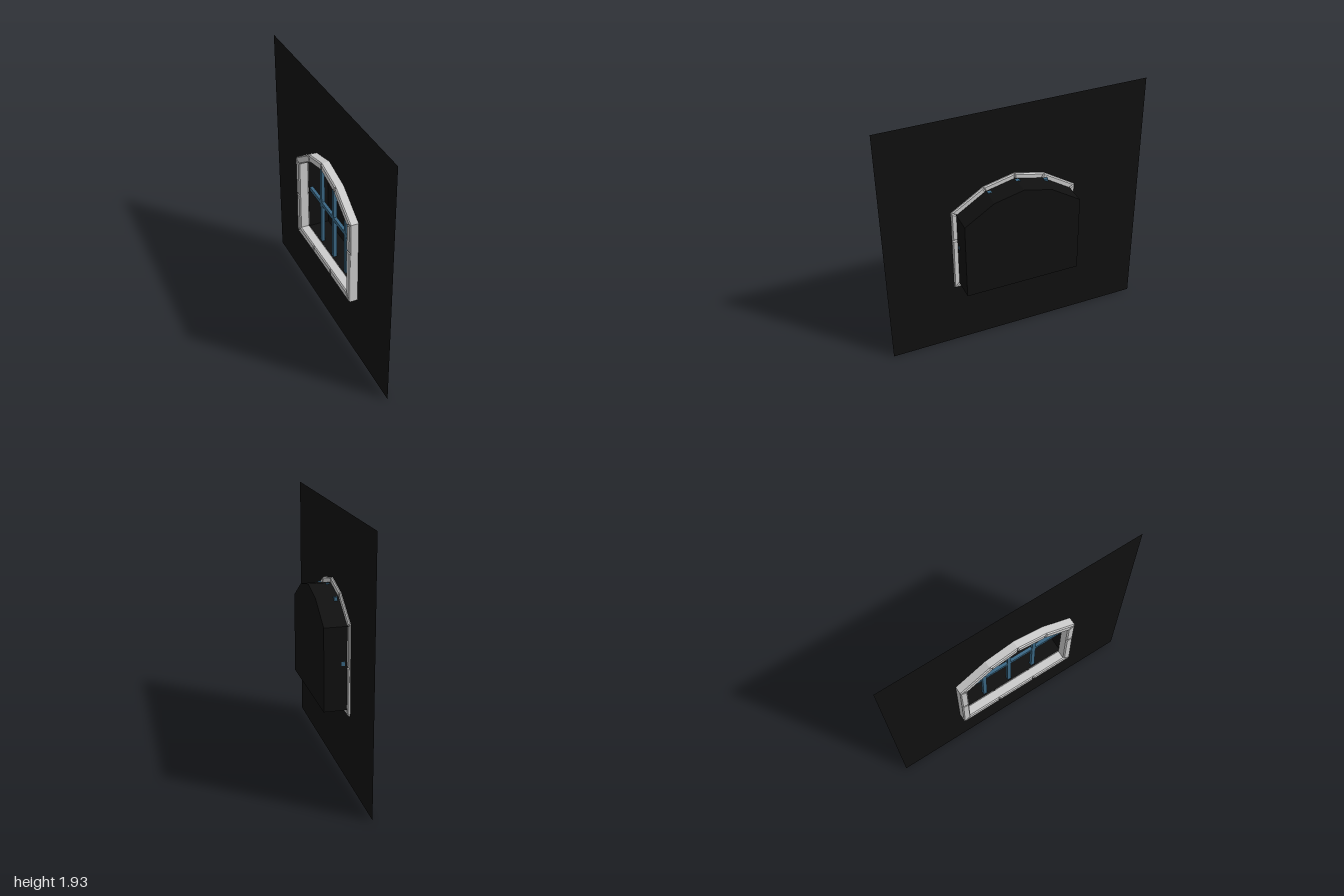
import * as THREE from 'three';

// Outer corners and joints of the stone surround, counter-clockwise, as [u, y] with u = -z
const OUTER = [
  [-0.492, 0.516], [-0.158, 0.516], [0.147, 0.516], [0.462, 0.516],
  [0.462, 0.87], [0.462, 1.184], [0.217, 1.343], [-0.01, 1.398],
  [-0.248, 1.342], [-0.492, 1.184], [-0.492, 0.945],
].map(([u, y]) => new THREE.Vector2(u, y));

const WALL_X = -0.06, BACK_X = 0.12;

// Mitred inward offset of a closed counter-clockwise outline
function inset(points, d) {
  const n = points.length;
  const normal = (a, b) => new THREE.Vector2(a.y - b.y, b.x - a.x).normalize();
  return points.map((p, i) => {
    const n1 = normal(points[(i + n - 1) % n], p);
    const n2 = normal(p, points[(i + 1) % n]);
    const k = d / (1 + n1.dot(n2));
    return p.clone().add(n1.add(n2).multiplyScalar(k));
  });
}

// Turns a geometry drawn in (u, y) to face along x, starting at the given x
const place = (geometry, x) => geometry.rotateY(Math.PI / 2).translate(x, 0, 0);

export function createModel() {
  const model = new THREE.Group();
  const stoneMat = new THREE.MeshStandardMaterial({ color: 0xcccccc, flatShading: true });
  const darkMat = new THREE.MeshStandardMaterial({ color: 0x101010, side: THREE.DoubleSide, flatShading: true });
  const barMat = new THREE.MeshStandardMaterial({ color: 0x3a6784 });

  const add = (name, geometry, material, parent = model) => {
    const mesh = new THREE.Mesh(geometry, material);
    mesh.name = name;
    parent.add(mesh);
    return mesh;
  };

  // Flat wall sheet with the arched opening cut out
  const opening = inset(OUTER, 0.037);
  const wall = new THREE.Shape([[-1, 0], [1, 0], [1, 1.93], [-1, 1.93]].map(([u, y]) => new THREE.Vector2(u, y)));
  wall.holes.push(new THREE.Path(opening));
  add('wall', place(new THREE.ShapeGeometry(wall), WALL_X), darkMat);

  // Recess behind the opening: one quad per edge, and a closed back
  const sides = [];
  opening.forEach((a, i) => {
    const b = opening[(i + 1) % opening.length];
    const p = [[WALL_X, a.y, -a.x], [BACK_X, a.y, -a.x], [BACK_X, b.y, -b.x], [WALL_X, b.y, -b.x]];
    for (const k of [0, 2, 1, 0, 3, 2]) sides.push(...p[k]);
  });
  const recess = new THREE.BufferGeometry();
  recess.setAttribute('position', new THREE.Float32BufferAttribute(sides, 3));
  recess.computeVertexNormals();
  add('recessSides', recess, darkMat);
  add('recessBack', place(new THREE.ShapeGeometry(new THREE.Shape(opening)), BACK_X), darkMat);

  // Bevelled, mitred stones around the opening
  const surround = new THREE.Group();
  surround.name = 'stoneSurround';
  model.add(surround);
  const inner = inset(OUTER, 0.057);
  const bevel = 0.009, depth = 0.08;
  OUTER.forEach((a, i) => {
    const j = (i + 1) % OUTER.length;
    const stone = new THREE.ExtrudeGeometry(new THREE.Shape([a, OUTER[j], inner[j], inner[i]]), {
      depth: depth - 2 * bevel, bevelEnabled: true, bevelSegments: 1,
      bevelSize: bevel, bevelThickness: bevel, bevelOffset: -bevel,
    });
    add('stone' + (i + 1), place(stone, -0.125 + bevel), stoneMat, surround);
  });

  // Window bars: three uprights and one crossbar
  const bars = new THREE.Group();
  bars.name = 'windowBars';
  model.add(bars);
  const bar = (name, z, y0, y1, width) => {
    const mesh = add(name, new THREE.BoxGeometry(0.025, y1 - y0, width), barMat, bars);
    mesh.position.set(-0.018, (y0 + y1) / 2, z);
  };
  bar('leftUpright', -0.215, 0.55, 1.315, 0.03);
  bar('middleUpright', 0, 0.55, 1.36, 0.03);
  bar('rightUpright', 0.213, 0.55, 1.315, 0.03);
  bar('crossbar', 0.014, 0.882, 0.912, 0.884);

  return model;
}
